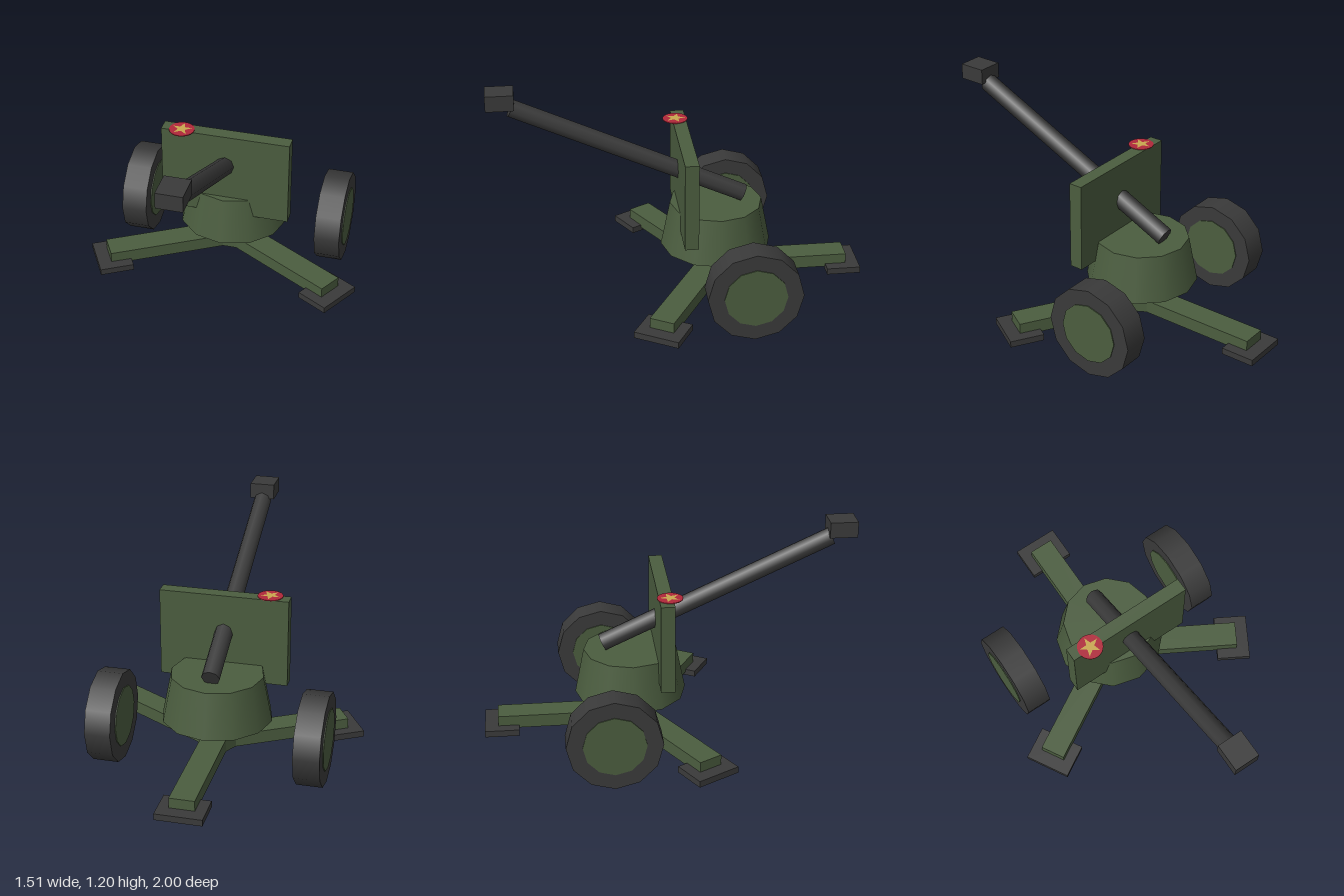
import * as THREE from 'three';

const mat = (name, color, side = THREE.FrontSide) =>
  Object.assign(new THREE.MeshStandardMaterial({ color, side }), { name });

export function createModel() {
  const green = mat('olive green', 0x4b5d3f);
  const dark = mat('dark gunmetal', 0x3a3a3a);
  const red = mat('badge red', 0xb0283a);
  const gold = mat('badge gold', 0xc9a850, THREE.DoubleSide);

  const model = new THREE.Group();
  model.name = 'fieldGun';

  const add = (name, geometry, material, x, y, z, parent = model) => {
    const mesh = new THREE.Mesh(geometry, material);
    mesh.name = name;
    mesh.position.set(x, y, z);
    parent.add(mesh);
    return mesh;
  };
  const box = (w, h, d) => new THREE.BoxGeometry(w, h, d);

  // Three outrigger legs that cross at the hub, each with a ground pad
  const baseZ = -0.203;
  for (let i = 0; i < 3; i++) {
    const leg = new THREE.Group();
    leg.name = 'outrigger';
    leg.position.z = baseZ;
    leg.rotation.y = (i * Math.PI * 2) / 3;
    add('leg', box(0.135, 0.072, 0.825), green, 0, 0.116, -0.3125, leg);
    add('footPad', box(0.25, 0.035, 0.185), dark, 0, 0.0785, -0.7045, leg);
    model.add(leg);
  }

  // Tapered gun mount
  add('gunMount', new THREE.CylinderGeometry(0.25, 0.3, 0.25, 12), green, 0, 0.378, baseZ);

  // Wheels with slightly raised hubs
  for (const side of [1, -1]) {
    const wheel = new THREE.Group();
    wheel.name = side > 0 ? 'leftWheel' : 'rightWheel';
    wheel.position.set(side * 0.553, 0.25, -0.33);
    wheel.rotation.z = Math.PI / 2;
    add('tire', new THREE.CylinderGeometry(0.25, 0.25, 0.14, 12), dark, 0, 0, 0, wheel);
    add('hub', new THREE.CylinderGeometry(0.165, 0.165, 0.15, 12), green, 0, 0, 0, wheel);
    model.add(wheel);
  }

  // Shield
  add('shield', box(0.7, 0.487, 0.074), green, 0, 0.643, -0.031);

  // Raised barrel and its muzzle block
  const breech = new THREE.Vector3(0, 0.54, -0.35);
  const tip = new THREE.Vector3(0, 1.103, 0.872);
  const axis = tip.clone().sub(breech);
  const middle = breech.clone().add(tip).multiplyScalar(0.5);
  const barrel = add('barrel', new THREE.CylinderGeometry(0.05, 0.05, axis.length(), 8),
    dark, 0, middle.y, middle.z);
  barrel.rotation.x = Math.atan2(axis.z, axis.y);
  add('muzzle', box(0.136, 0.085, 0.148), dark, 0, 1.157, 0.926);

  // Flat round badge with a star on the shield's top edge
  const badge = new THREE.Group();
  badge.name = 'badge';
  badge.position.set(-0.24, 0.888, -0.01);
  add('badgeDisc', new THREE.CylinderGeometry(0.068, 0.068, 0.004, 24), red, 0, 0, 0, badge);
  const points = [];
  for (let i = 0; i < 10; i++) {
    const r = i % 2 ? 0.022 : 0.055;
    const a = Math.PI / 2 + (i * Math.PI) / 5;
    points.push(new THREE.Vector2(r * Math.cos(a), r * Math.sin(a)));
  }
  const star = add('badgeStar', new THREE.ShapeGeometry(new THREE.Shape(points)), gold,
    0, 0.004, 0, badge);
  star.rotation.x = -Math.PI / 2;
  model.add(badge);

  return model;
}
